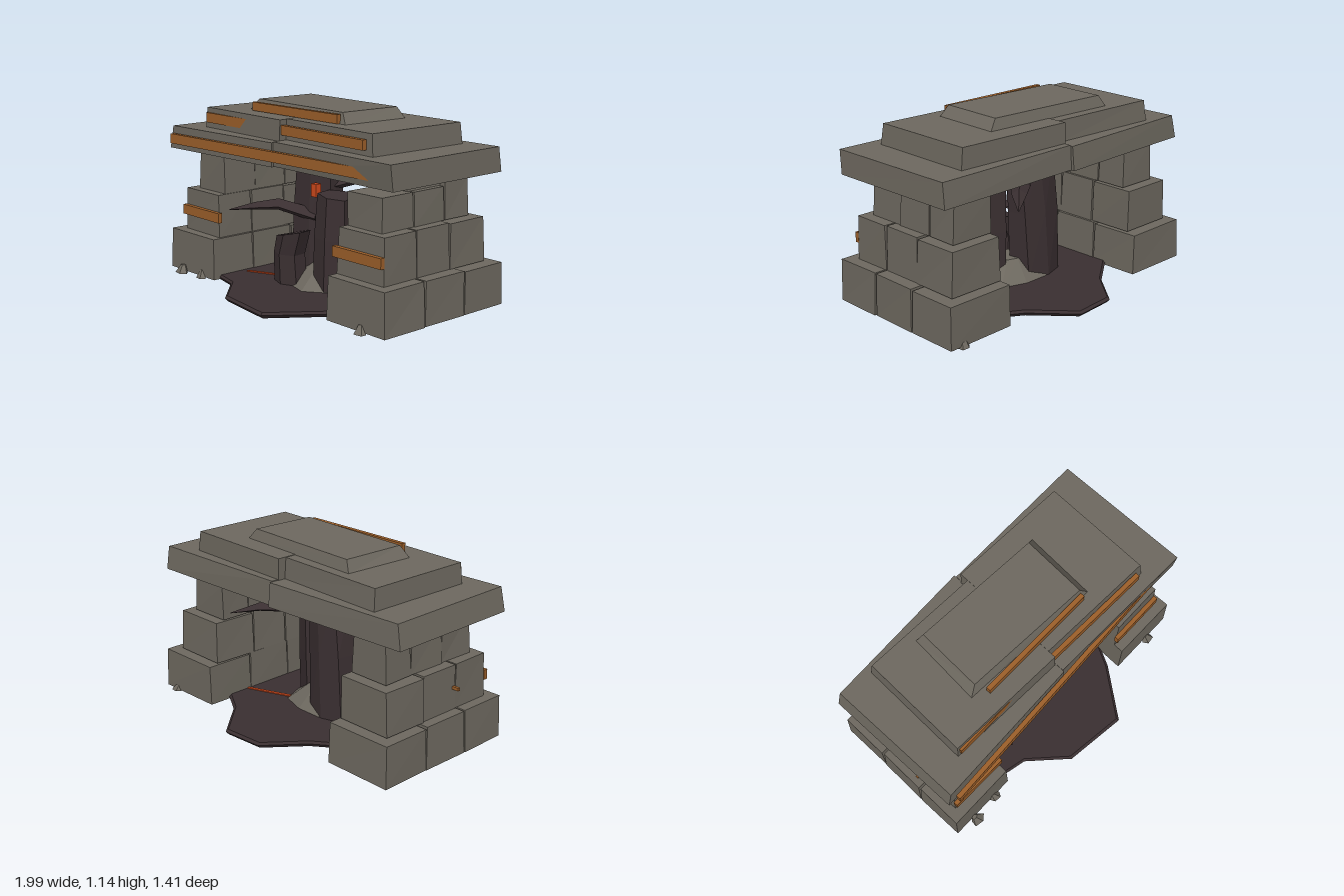
import * as THREE from 'three';

const mat = (name, color) => {
  const m = new THREE.MeshStandardMaterial({ color });
  m.name = name;
  return m;
};

// Closed flat-faced solid through a series of rings, capped at both ends.
function loft(rings) {
  const tris = [];
  const n = rings[0].length;
  for (let r = 0; r < rings.length - 1; r++) {
    for (let i = 0; i < n; i++) {
      const j = (i + 1) % n;
      const [a, b, c, d] = [rings[r][i], rings[r][j], rings[r + 1][i], rings[r + 1][j]];
      tris.push([a, c, b], [b, c, d]);
    }
  }
  const cap = (ring, flip) => {
    const mid = [0, 1, 2].map(k => ring.reduce((s, p) => s + p[k], 0) / n);
    ring.forEach((p, i) => {
      const q = ring[(i + 1) % n];
      tris.push(flip ? [mid, q, p] : [mid, p, q]);
    });
  };
  cap(rings[0], false);
  cap(rings[rings.length - 1], true);
  // A negative volume means the faces point inwards, so turn them over
  let volume = 0;
  const v = p => new THREE.Vector3(...p);
  tris.forEach(([a, b, c]) => { volume += v(a).dot(v(b).cross(v(c))); });
  if (volume < 0) tris.forEach(t => t.reverse());
  const geo = new THREE.BufferGeometry();
  geo.setAttribute('position', new THREE.Float32BufferAttribute(tris.flat(2), 3));
  geo.computeVertexNormals();
  return geo;
}

const level = (pts, y) => pts.map(([x, z]) => [x, y, z]);
const prism = (low, y0, high, y1) => loft([level(low, y0), level(high, y1)]);
const scaled = (pts, s) => pts.map(([x, z]) => [x * s, z * s]);

// Irregular horizontal ring for trunks and mounds
const ring = (cx, y, cz, rx, rz, n, turn = 0, tilt = 0) =>
  Array.from({ length: n }, (_, i) => {
    const a = turn + (i / n) * Math.PI * 2;
    const k = i % 2 ? 0.92 : 1.04;
    return [cx + Math.cos(a) * rx * k, y + Math.cos(a) * tilt, cz + Math.sin(a) * rz * k];
  });

// Pointed branch with a diamond section along a path of [x, y, z, radius]
const spike = path => loft(path.map(([x, y, z, r], i) => {
  const p = path[Math.max(i - 1, 0)], q = path[Math.min(i + 1, path.length - 1)];
  const len = Math.hypot(q[0] - p[0], q[2] - p[2]);
  const sx = -(q[2] - p[2]) / len, sz = (q[0] - p[0]) / len;
  return [[x + sx * r, y, z + sz * r], [x, y + r * 0.7, z], [x - sx * r, y, z - sz * r], [x, y - r * 0.5, z]];
}));

export function createModel() {
  const model = new THREE.Group();
  model.name = 'ruinedStoneShelter';
  const stone = mat('stone', 0x6d685f);
  const wood = mat('wood', 0x9c5f2a);
  const charred = mat('charred', 0x3a2f31);
  const ember = mat('ember', 0xd0491c);
  const add = (name, geo, material) => {
    const mesh = new THREE.Mesh(geo, material);
    mesh.name = name;
    model.add(mesh);
    return mesh;
  };

  let seed = 7;
  const jitter = s => {
    seed = (seed * 16807) % 2147483647;
    return (seed / 2147483647 - 0.5) * 2 * s;
  };
  const block = (name, x0, x1, y0, y1, z0, z1) => {
    const t = 0.008;
    const low = [[x0, z0], [x1, z0], [x1, z1], [x0, z1]].map(([x, z]) => [x + jitter(0.005), z + jitter(0.004)]);
    const high = [[x0 + t, z0 + t / 2], [x1 - t, z0 + t / 2], [x1 - t, z1 - t / 2], [x0 + t, z1 - t / 2]]
      .map(([x, z]) => [x + jitter(0.005), z + jitter(0.004)]);
    add(name, prism(low, y0, high, y1), stone);
  };

  // Scorched ground plate with a chamfered rim
  const outline = [[0.26, 0.7], [0.49, 0.4], [0.71, -0.02], [0.66, -0.3], [0.38, -0.47], [0.16, -0.71],
    [-0.11, -0.69], [-0.3, -0.46], [-0.69, -0.17], [-0.71, 0.36], [-0.36, 0.44], [-0.14, 0.65]];
  add('groundPlate', loft([level(scaled(outline, 0.97), 0), level(outline, 0.022),
    level(scaled(outline, 0.975), 0.035)]), charred);

  // Glowing crack across the ground
  add('groundCrack', prism([[-0.48, 0.2], [0, -0.015], [0.54, -0.225], [0.54, -0.205], [0, 0.01], [-0.48, 0.22]], 0.034,
    [[-0.48, 0.2], [0, -0.015], [0.54, -0.225], [0.54, -0.205], [0, 0.01], [-0.48, 0.22]], 0.041), ember);

  // Pillars: three stepped courses of three blocks, and a cap stone
  const courses = [
    { y: [0.01, 0.27], x: [[-0.98, -0.525], [0.54, 0.995]], z: [0.45, 0.13, -0.19, -0.52] },
    { y: [0.27, 0.54], x: [[-0.91, -0.55], [0.55, 0.915]], z: [0.38, 0.12, -0.15, -0.45] },
    { y: [0.54, 0.74], x: [[-0.835, -0.57], [0.56, 0.84]], z: [0.32, 0.07, -0.18, -0.385] },
  ];
  [0, 1].forEach(side => {
    courses.forEach(({ y, x, z }, c) => {
      for (let i = 0; i < 3; i++) {
        const top = c === 2 ? (side ? 0.735 : 0.78) + (i === 2 ? 0.03 * side : 0) : y[1] - (i === 2 ? 0.007 : 0);
        block('pillarBlock', x[side][0], x[side][1], y[0], top, z[i + 1] + 0.002, z[i] - 0.002);
      }
    });
  });
  const capLow = [[0.58, -0.19], [0.8, -0.19], [0.8, 0.09], [0.58, 0.09]];
  const capHigh = [[0.61, -0.17], [0.78, -0.17], [0.78, 0.07], [0.61, 0.07]];
  [1, -1].forEach(s => add('capStone', prism(capLow.map(([x, z]) => [x * s, z]), 0.72,
    capHigh.map(([x, z]) => [x * s, z]), 0.81), stone));

  // Roof: two tiers of split slabs under one tapered top slab
  add('lowerSlab', prism([[-0.995, -0.45], [0.003, -0.49], [0.003, 0.4], [-0.985, 0.435]], 0.8,
    [[-0.965, -0.44], [0.003, -0.475], [0.003, 0.4], [-0.955, 0.43]], 0.945), stone);
  add('lowerSlab', prism([[0.003, -0.47], [0.99, -0.485], [0.995, 0.395], [0.003, 0.385]], 0.803,
    [[0.003, -0.46], [0.985, -0.465], [0.99, 0.41], [0.003, 0.39]], 0.95), stone);
  add('middleSlab', prism([[-0.755, -0.4], [-0.003, -0.365], [-0.003, 0.335], [-0.77, 0.305]], 0.945,
    [[-0.745, -0.385], [-0.003, -0.355], [-0.003, 0.33], [-0.76, 0.3]], 1.072), stone);
  add('middleSlab', prism([[-0.003, -0.415], [0.78, -0.385], [0.765, 0.32], [-0.003, 0.285]], 0.945,
    [[-0.003, -0.41], [0.765, -0.38], [0.75, 0.31], [-0.003, 0.28]], 1.075), stone);
  add('topSlab', prism([[-0.47, -0.31], [0.445, -0.26], [0.42, 0.2], [-0.5, 0.155]], 1.07,
    [[-0.43, -0.285], [0.39, -0.24], [0.37, 0.175], [-0.445, 0.13]], 1.14), stone);

  // Wooden planks on the fronts of roof and pillars
  [
    [-0.93, 0.83, 0.838, 0.9, 0.472, 0.396],
    [-0.75, -0.24, 0.978, 1.04, 0.318, 0.318],
    [-0.02, 0.71, 0.982, 1.04, 0.322, 0.343],
    [-0.41, 0.365, 1.077, 1.13, 0.213, 0.216],
    [-0.91, -0.525, 0.37, 0.432, 0.4, 0.404],
    [0.535, 0.915, 0.37, 0.432, 0.404, 0.4],
  ].forEach(([x0, x1, y0, y1, za, zb]) => {
    const p = [[x0, za], [x1, zb], [x1, zb - 0.028], [x0, za - 0.028]];
    add('plank', prism(p, y0, p, y1), wood);
  });
  const peg = add('peg', new THREE.BoxGeometry(0.05, 0.018, 0.018), wood);
  peg.position.set(-0.925, 0.405, 0.1);

  // Ash mound
  add('ashMound', loft([ring(0.04, 0.005, 0.02, 0.3, 0.26, 9), ring(0.04, 0.16, 0, 0.1, 0.09, 9)]), stone);

  // Charred trunks
  add('mainTrunk', loft([ring(-0.11, 0.02, -0.05, 0.165, 0.15, 7, 0.2), ring(-0.1, 0.45, -0.05, 0.165, 0.14, 7, 0.3),
    ring(-0.08, 0.805, -0.05, 0.155, 0.12, 7, 0.4)]), charred);
  add('sideTrunk', loft([ring(0.17, 0.02, 0.06, 0.125, 0.12, 6, 0.3), ring(0.17, 0.35, 0.05, 0.125, 0.12, 6, 0.3),
    ring(0.17, 0.61, 0.04, 0.11, 0.11, 6, 0.3, -0.015)]), charred);
  add('stump', loft([ring(-0.12, 0.02, 0.15, 0.115, 0.1, 6, 0.5), ring(-0.13, 0.22, 0.15, 0.105, 0.1, 6, 0.5),
    ring(-0.09, 0.35, 0.15, 0.12, 0.1, 6, 0.5, 0.03)]), charred);

  // Bent branches
  add('frontBranch', spike([[-0.04, 0.44, 0.02, 0.07], [-0.2, 0.51, 0.18, 0.06], [-0.3, 0.5, 0.29, 0.04],
    [-0.425, 0.475, 0.39, 0.004]]), charred);
  add('backBranch', spike([[-0.02, 0.62, -0.04, 0.06], [0.17, 0.69, -0.22, 0.06], [0.28, 0.685, -0.32, 0.045],
    [0.41, 0.645, -0.445, 0.004]]), charred);

  // Glowing ember on the trunk
  const glow = add('ember', new THREE.BoxGeometry(0.045, 0.08, 0.04), ember);
  glow.position.set(0.03, 0.625, 0.08);

  // Rubble at the pillar feet
  [[-0.83, 0.48, 0.05], [-0.65, 0.46, 0.04], [0.82, 0.46, 0.045], [0.9, -0.52, 0.04]].forEach(([x, z, r], i) => {
    const s = Math.sign(z);
    add('rubble', loft([ring(x, 0.002, z, r, r * 0.7, 5, i), ring(x - 0.01, 0.05, z - s * 0.02, r * 0.4, r * 0.3, 5, i)]), stone);
  });

  return model;
}
